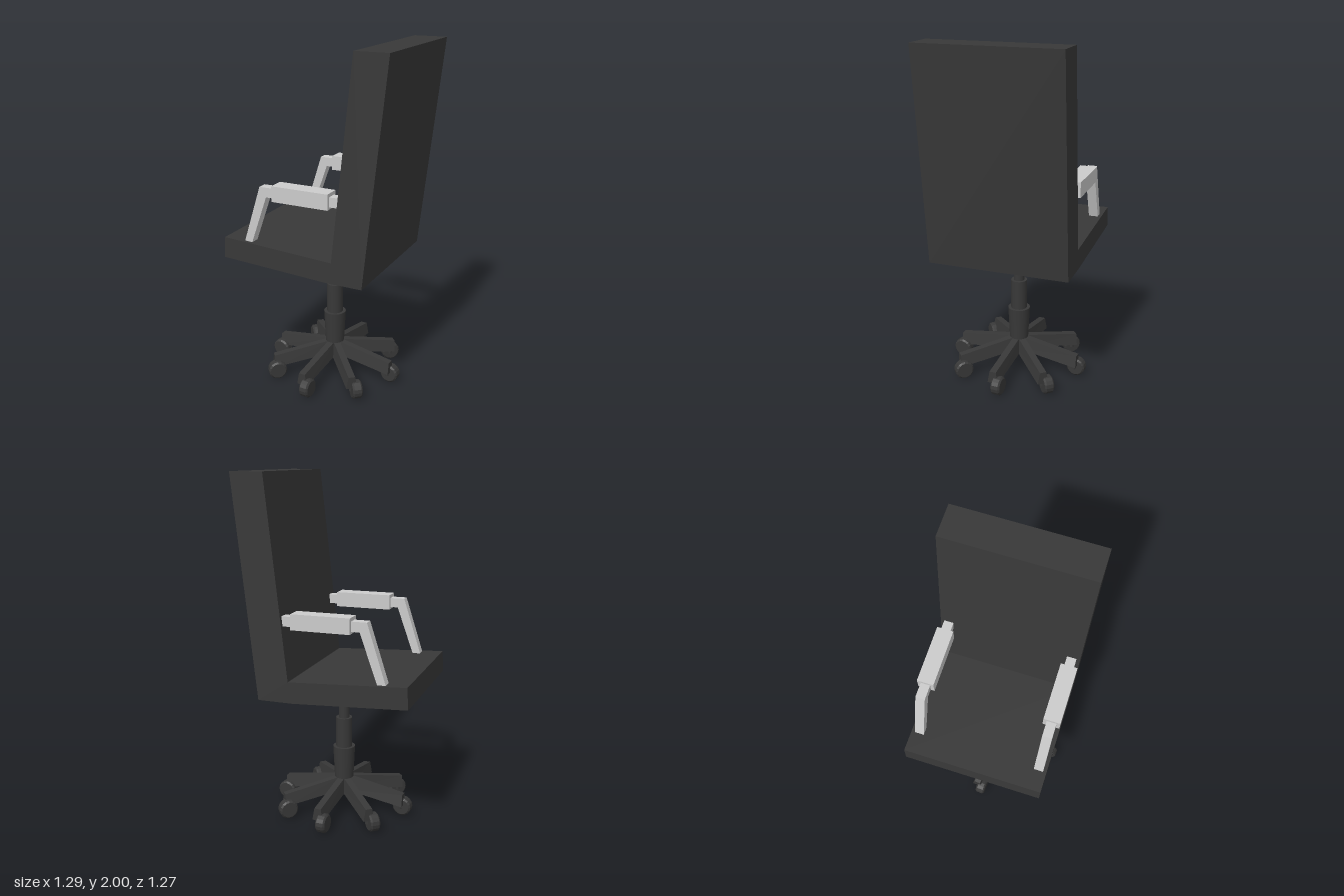
import * as THREE from 'three';

const dark = new THREE.MeshStandardMaterial({ color: 0x383838, flatShading: true });
const darkSmooth = new THREE.MeshStandardMaterial({ color: 0x383838 });
const grey = new THREE.MeshStandardMaterial({ color: 0xcccccc, flatShading: true });

function add(parent, name, geometry, material) {
  const mesh = new THREE.Mesh(geometry, material);
  mesh.name = name;
  parent.add(mesh);
  return mesh;
}

// Side profile (x forward, y up) extruded across a width centred on z
function slab(points, width) {
  const shape = new THREE.Shape(points.map(([x, y]) => new THREE.Vector2(x, y)));
  return new THREE.ExtrudeGeometry(shape, { depth: width, bevelEnabled: false })
    .translate(0, 0, -width / 2);
}

// Base leg: a bar that narrows upward and slopes down to its outer end
function legGeometry() {
  const g = new THREE.BoxGeometry(0.37, 0.065, 0.066);
  g.translate(0.195, 0.155, 0);
  const p = g.attributes.position;
  for (let i = 0; i < p.count; i++) {
    const x = p.getX(i), top = p.getY(i) > 0.155;
    p.setY(i, p.getY(i) + (top ? 0.016 : 0.0) - 0.165 * x + (top ? 0 : 0.025 * x));
    if (top) p.setZ(i, p.getZ(i) * 0.6);
  }
  g.computeVertexNormals();
  return g;
}

// Caster wheel: chamfered disc with its axle along z
function wheelGeometry() {
  const profile = [[0, -0.029], [0.046, -0.029], [0.055, -0.02], [0.055, 0.02], [0.046, 0.029], [0, 0.029]];
  return new THREE.LatheGeometry(profile.map(([r, y]) => new THREE.Vector2(r, y)), 16)
    .rotateX(Math.PI / 2);
}

export function createModel() {
  const chair = new THREE.Group();
  chair.name = 'officeChair';

  // Upper part is swivelled on the base
  const upper = new THREE.Group();
  upper.name = 'swivelSeat';
  upper.rotation.y = 2.42;
  chair.add(upper);

  // Seat and leaning back in one L-shaped profile
  add(upper, 'seatAndBack', slab([
    [-0.36, 0.76], [-0.153, 0.76], [0.5, 0.795], [0.493, 0.917],
    [-0.18, 0.88], [-0.302, 2], [-0.493, 2],
  ], 0.82), dark);

  // Armrests
  for (const side of [-1, 1]) {
    const arm = new THREE.Group();
    arm.name = side > 0 ? 'armrestA' : 'armrestB';
    arm.position.z = side * 0.362;
    upper.add(arm);
    add(arm, 'armFrame', slab([
      [-0.225, 1.185], [0.225, 1.185], [0.33, 0.89], [0.377, 0.89], [0.265, 1.24], [-0.225, 1.24],
    ], 0.055), grey);
    add(arm, 'armPad', new THREE.BoxGeometry(0.338, 0.088, 0.096), grey).position.set(0.009, 1.216, 0);
  }

  // Gas lift column: [name, top radius, bottom radius, bottom y, top y]
  for (const [name, rt, rb, y0, y1] of [
    ['piston', 0.032, 0.032, 0.55, 0.79],
    ['columnSleeve', 0.048, 0.048, 0.37, 0.57],
    ['hub', 0.066, 0.052, 0.11, 0.39],
  ]) {
    const geometry = new THREE.CylinderGeometry(rt, rb, y1 - y0, 20);
    add(chair, name, geometry, darkSmooth).position.y = (y0 + y1) / 2;
  }

  // Eight-legged base, each wheel set to one side of its leg
  const legShape = legGeometry(), wheelShape = wheelGeometry();
  for (let i = 0; i < 8; i++) {
    const leg = new THREE.Group();
    leg.name = 'baseLeg' + (i + 1);
    leg.rotation.y = i * Math.PI / 4;
    chair.add(leg);
    add(leg, 'legBar', legShape, dark);
    add(leg, 'casterPin', new THREE.CylinderGeometry(0.012, 0.012, 0.06, 8), dark).position.set(0.36, 0.075, 0);
    add(leg, 'casterWheel', wheelShape, dark).position.set(0.367, 0.055, -0.028);
  }
  return chair;
}
